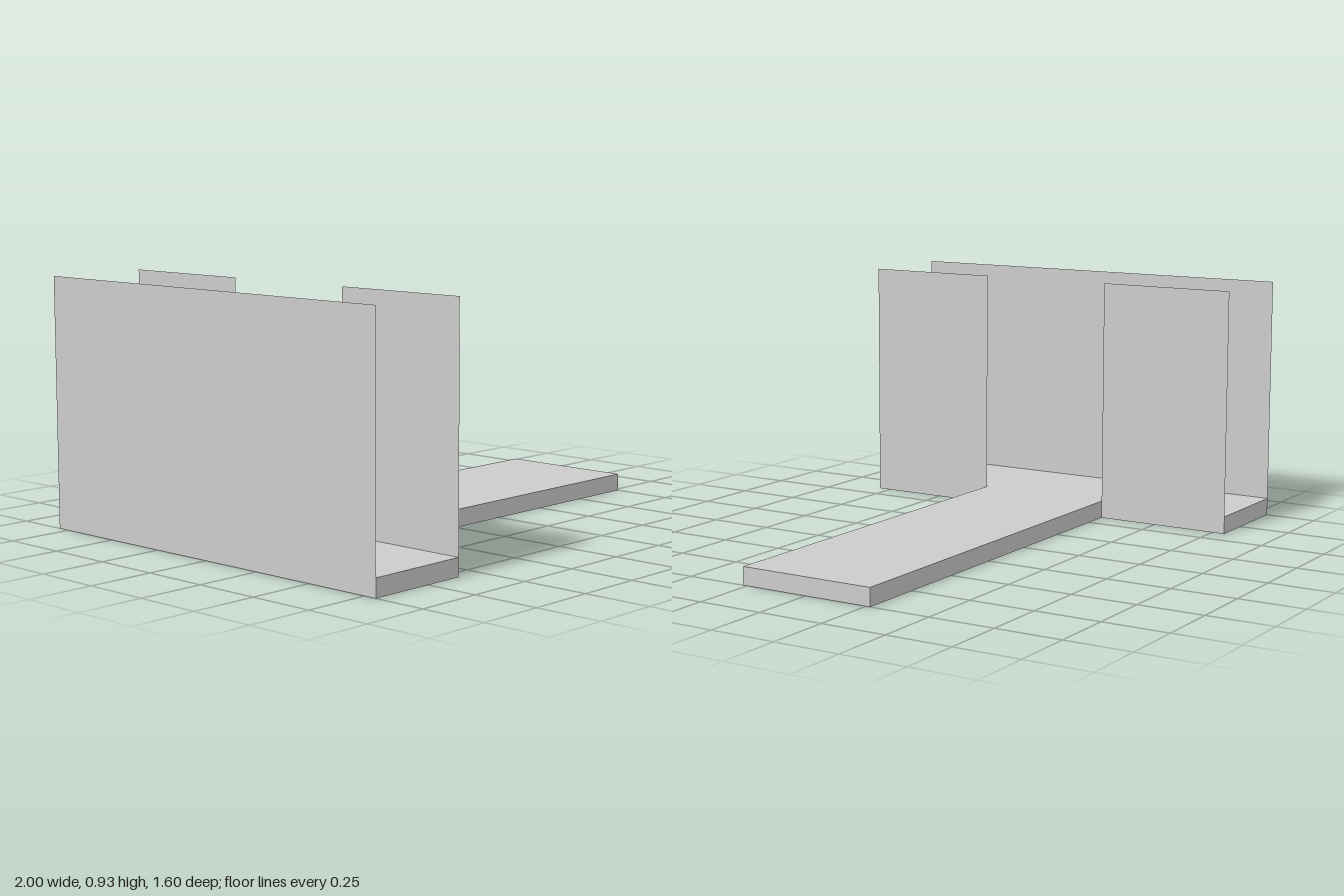
import * as THREE from 'three';

const SLAB = 0.067, TOP = 0.933, HALF = 0.8, ARM = 0.267, INNER = -0.6;

export function createModel() {
  const model = new THREE.Group();
  const slabMaterial = new THREE.MeshStandardMaterial({ color: 0xcccccc });
  const wallMaterial = new THREE.MeshStandardMaterial({ color: 0xcccccc, side: THREE.DoubleSide });

  // T-shaped floor slab, drawn flat and laid down
  const outline = new THREE.Shape([
    [-1, -HALF], [INNER, -HALF], [INNER, -ARM], [1, -ARM],
    [1, ARM], [INNER, ARM], [INNER, HALF], [-1, HALF],
  ].map(([x, z]) => new THREE.Vector2(x, z)));
  const slabGeometry = new THREE.ExtrudeGeometry(outline, { depth: SLAB, bevelEnabled: false });
  slabGeometry.rotateX(-Math.PI / 2);
  const slab = new THREE.Mesh(slabGeometry, slabMaterial);
  slab.name = 'floorSlab';
  model.add(slab);

  // Thin upright sheet facing +x, standing on the slab's edge
  function addWall(name, x, z0, z1) {
    const geometry = new THREE.PlaneGeometry(z1 - z0, TOP - SLAB);
    geometry.rotateY(Math.PI / 2);
    const wall = new THREE.Mesh(geometry, wallMaterial);
    wall.position.set(x, (SLAB + TOP) / 2, (z0 + z1) / 2);
    wall.name = name;
    model.add(wall);
  }

  addWall('longWall', -1, -HALF, HALF);
  addWall('frontShortWall', INNER, ARM, HALF);
  addWall('backShortWall', INNER, -HALF, -ARM);

  return model;
}
